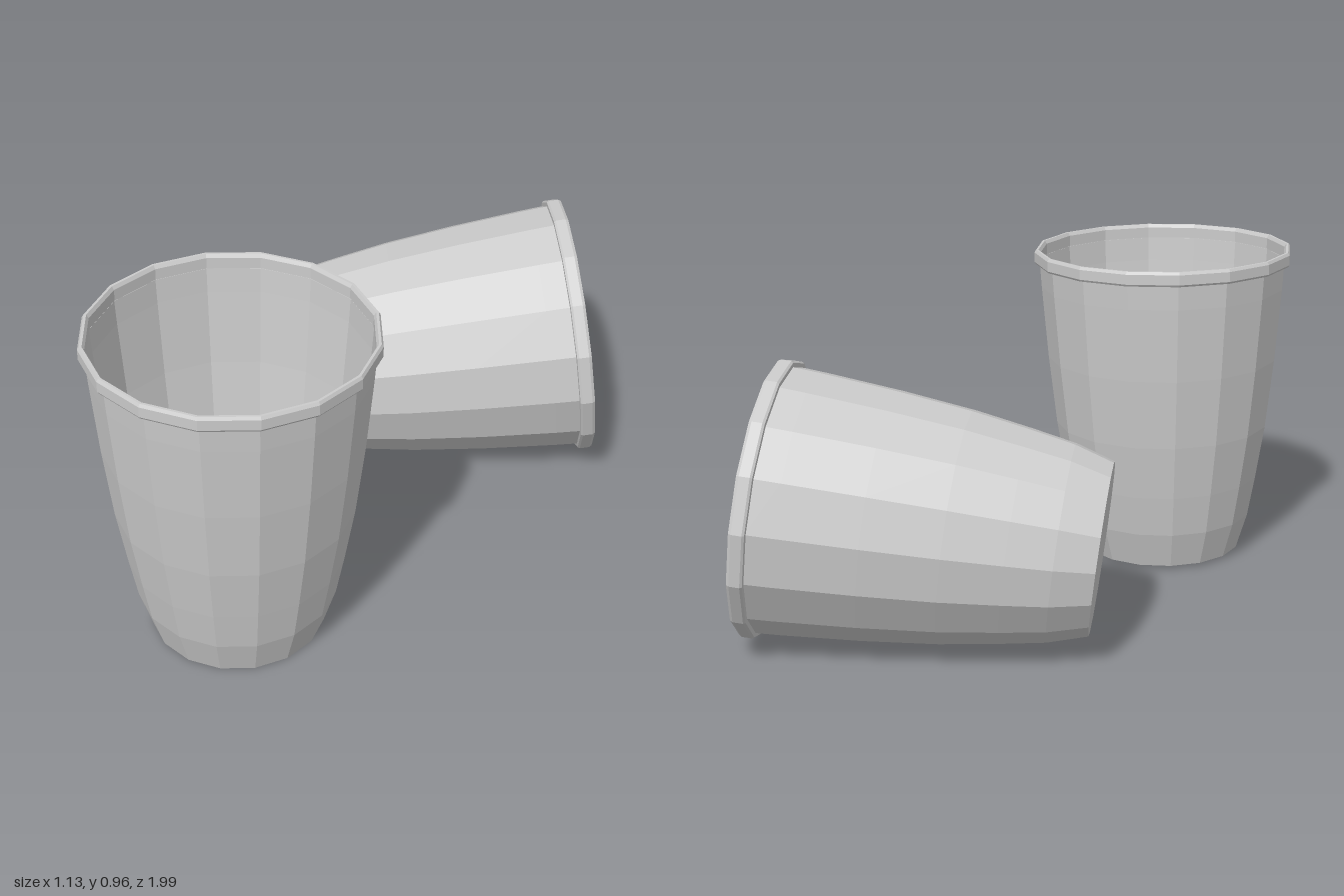
import * as THREE from 'three';

const SIDES = 16;

function lathe(name, points, material) {
  const profile = points.map(([r, h]) => new THREE.Vector2(r, h));
  const mesh = new THREE.Mesh(new THREE.LatheGeometry(profile, SIDES), material);
  mesh.name = name;
  return mesh;
}

// One tumbler standing on its local origin, opening along +y
function makeCup(name) {
  const thin = new THREE.MeshStandardMaterial({ color: 0xcccccc, flatShading: true, side: THREE.DoubleSide });
  const cup = new THREE.Group();
  cup.name = name;

  // Thin curved wall with a flat floor
  cup.add(lathe('wall', [
    [0.243, 0], [0.277, 0.11], [0.3, 0.235], [0.327, 0.4],
    [0.351, 0.61], [0.37, 0.83], [0.375, 0.905],
  ], thin));
  const floor = new THREE.Mesh(new THREE.CircleGeometry(0.243, SIDES), thin);
  floor.name = 'floor';
  floor.rotation.x = -Math.PI / 2;
  cup.add(floor);

  // Rolled lip around the mouth
  cup.add(lathe('rim', [
    [0.374, 0.901], [0.387, 0.902], [0.391, 0.908], [0.391, 0.937],
    [0.386, 0.945], [0.379, 0.945], [0.373, 0.935], [0.373, 0.903],
  ], thin));
  return cup;
}

// Put the cup's base at a point, its axis along a direction,
// and one of its corner ridges towards the given spoke
function placeCup(cup, base, axis, spoke) {
  const y = new THREE.Vector3(...axis).normalize();
  const x = new THREE.Vector3().crossVectors(y, new THREE.Vector3(...spoke)).normalize();
  const z = new THREE.Vector3().crossVectors(x, y);
  cup.quaternion.setFromRotationMatrix(new THREE.Matrix4().makeBasis(x, y, z));
  cup.position.set(...base);
  return cup;
}

export function createModel() {
  const model = new THREE.Group();
  model.name = 'cups';
  model.add(
    placeCup(makeCup('standingCup'), [-0.054, 0.006, 0.606], [0.0215, 1, 0], [0, 0, 1]),
    placeCup(makeCup('lyingCup'), [-0.428, 0.285, -0.143], [0.77, 0.11, -0.542], [-0.05, -1, -0.071]),
  );
  return model;
}
